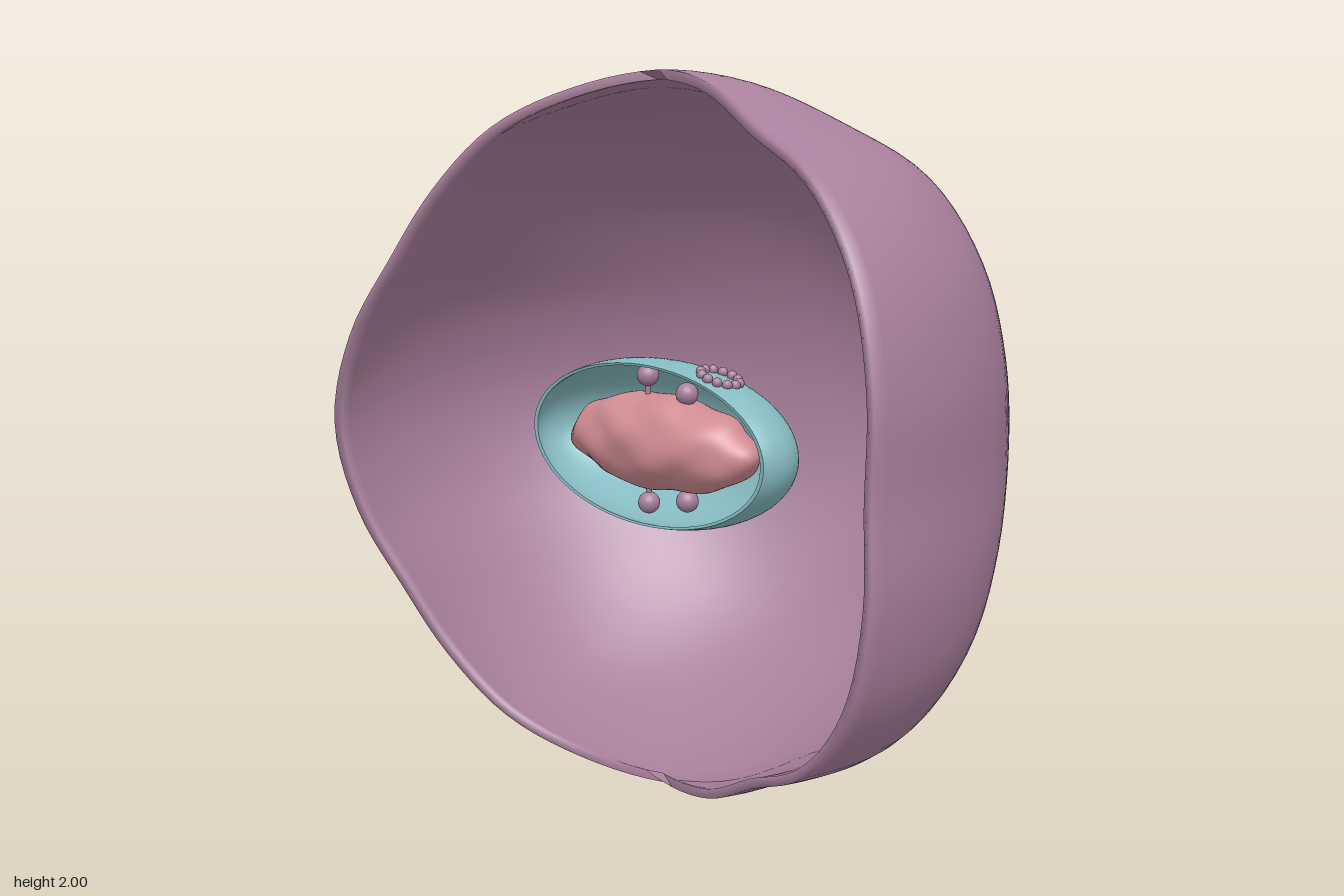
import * as THREE from 'three';
import { mergeVertices, toCreasedNormals } from 'three/addons/utils/BufferGeometryUtils.js';

const AXIS = new THREE.Vector3(0.04, 1, 0.27); // centre of the cell
const rad = THREE.MathUtils.degToRad;

// Shell radius at elevations 0, 15 ... 90 degrees, for several compass angles
const MERIDIANS = [
  [-14.4, [0.965, 1.0, 1.03, 1.015, 0.965, 0.985, 1]],
  [12, [0.945, 0.975, 1.015, 1.025, 0.985, 0.995, 1]],
  [34, [0.94, 0.96, 0.995, 1.015, 0.99, 0.995, 1]],
  [54, [0.985, 0.985, 0.995, 1.0, 0.985, 0.99, 1]],
  [75, [1.03, 1.015, 1.0, 0.995, 0.985, 0.99, 1]],
  [105, [0.955, 0.96, 0.97, 0.985, 0.985, 0.99, 1]],
  [137, [1.01, 0.995, 0.975, 0.98, 0.99, 0.99, 1]],
  [165, [1.045, 1.02, 0.98, 0.98, 0.995, 0.99, 1]],
  [190, [1.04, 1.02, 0.98, 0.98, 0.995, 0.99, 1]],
  [206.8, [1.04, 1.01, 0.965, 0.97, 0.99, 0.99, 1]],
];

function shellRadius() {
  const around = new THREE.CubicInterpolant(
    MERIDIANS.map((m) => m[0]), MERIDIANS.flatMap((m) => m[1]), 7, new Float32Array(7));
  const steps = Array.from({ length: 13 }, (_, i) => (i - 6) * 15);
  return (angle, elevation) => {
    const row = Array.from(around.evaluate(angle));
    const mirrored = [...row.slice(1).reverse(), ...row];
    return new THREE.CubicInterpolant(steps, mirrored, 1, new Float32Array(1)).evaluate(elevation)[0];
  };
}

// Wall with a wedge cut out: outer skin, cut face, inner skin, cut face
function membraneGeometry() {
  const radius = shellRadius();
  const NA = 90, NE = 60, wall = 0.026;
  const first = MERIDIANS[0][0], last = MERIDIANS[MERIDIANS.length - 1][0];
  const loop = [];
  for (let i = 0; i <= NA; i++) loop.push([first + (last - first) * i / NA, 0]);
  for (let i = NA; i >= 0; i--) loop.push([first + (last - first) * i / NA, wall]);
  const pos = [], index = [];
  for (const [angle, inset] of loop) {
    for (let j = 0; j <= NE; j++) {
      const e = -90 + 180 * j / NE;
      const r = radius(angle, e) - inset;
      const flat = r * Math.cos(rad(e));
      pos.push(AXIS.x + flat * Math.cos(rad(angle)), AXIS.y + r * Math.sin(rad(e)),
        AXIS.z - flat * Math.sin(rad(angle)));
    }
  }
  const row = NE + 1;
  for (let i = 0; i < loop.length; i++) {
    const n = (i + 1) % loop.length;
    for (let j = 0; j < NE; j++) {
      const a = i * row + j, b = n * row + j;
      if (j > 0) index.push(a, b, b + 1);
      if (j < NE - 1) index.push(a, b + 1, a + 1);
    }
  }
  const g = new THREE.BufferGeometry();
  g.setAttribute('position', new THREE.Float32BufferAttribute(pos, 3));
  g.setIndex(index);
  g.computeVertexNormals(); // smooth over the lip, so it reads as rounded
  return g;
}

// Thin ellipsoid cup, open to the front
function envelopeGeometry() {
  const pts = [], N = 28, cut = Math.asin(0.28);
  const arc = (r, t) => new THREE.Vector2(Math.max(0, r * Math.cos(t)), r * Math.sin(t));
  for (let i = 0; i <= N; i++) pts.push(arc(1, -Math.PI / 2 + (cut + Math.PI / 2) * i / N));
  for (let i = N; i >= 0; i--) pts.push(arc(0.97, -Math.PI / 2 + (cut + Math.PI / 2) * i / N));
  const g = new THREE.LatheGeometry(pts, 64);
  g.rotateX(Math.PI / 2);
  g.scale(0.482, 0.232, 0.23);
  return toCreasedNormals(g, rad(40));
}

// Lumpy ellipsoid
function nucleolusGeometry() {
  let g = new THREE.SphereGeometry(1, 64, 40);
  g.deleteAttribute('uv');
  g.deleteAttribute('normal');
  g = mergeVertices(g, 1e-4);
  const p = g.attributes.position, v = new THREE.Vector3();
  for (let i = 0; i < p.count; i++) {
    v.fromBufferAttribute(p, i);
    const lump = Math.cos(11 * v.x + 0.8) * Math.sin(5 * v.y + 0.5) + 0.8 * Math.cos(7 * v.x - 3 * v.z) * Math.cos(6 * v.y + 1);
    v.multiplyScalar(0.985 + 0.035 * lump);
    p.setXYZ(i, v.x, v.y, v.z);
  }
  g.scale(0.36, 0.135, 0.135);
  g.computeVertexNormals();
  return g;
}

export function createModel() {
  const model = new THREE.Group();
  const make = (name, color) => {
    const m = new THREE.MeshStandardMaterial({ color, side: THREE.DoubleSide });
    m.name = name;
    return m;
  };
  const mauve = make('mauve', 0xa9809d);
  const teal = make('teal', 0x86bbc1);
  const pink = make('pink', 0xcf8c92);
  const add = (parent, name, geometry, material, x = 0, y = 0, z = 0) => {
    const mesh = new THREE.Mesh(geometry, material);
    mesh.name = name;
    mesh.position.set(x, y, z);
    parent.add(mesh);
    return mesh;
  };

  add(model, 'cellMembrane', membraneGeometry(), mauve);
  add(model, 'nuclearEnvelope', envelopeGeometry(), teal, AXIS.x + 0.005, 1, 0.29);
  add(model, 'nucleolus', nucleolusGeometry(), pink, AXIS.x, 1, AXIS.z);

  // Beads on short stalks between nucleolus and envelope
  const bead = new THREE.SphereGeometry(0.031, 20, 14);
  const stalk = new THREE.CylinderGeometry(0.008, 0.008, 0.08, 10);
  for (const [x, y] of [[0, 1.182], [0.155, 1.145], [0, 0.822], [0.155, 0.85]]) {
    add(model, 'bead', bead, mauve, x, y, 0.28);
    add(model, 'beadStalk', stalk, mauve, x, y - Math.sign(y - 1) * 0.04, 0.28);
  }

  // Pore: ring of small beads on the top of the envelope
  const pore = new THREE.Group();
  pore.name = 'nuclearPore';
  const small = new THREE.SphereGeometry(0.014, 12, 8);
  for (let i = 0; i < 12; i++) {
    const t = i / 12 * Math.PI * 2;
    add(pore, 'poreBead', small, mauve, 0.058 * Math.cos(t), 0, 0.045 * Math.sin(t));
  }
  pore.position.set(0.285, 1.203, 0.285);
  pore.rotation.z = -0.27;
  model.add(pore);
  return model;
}
